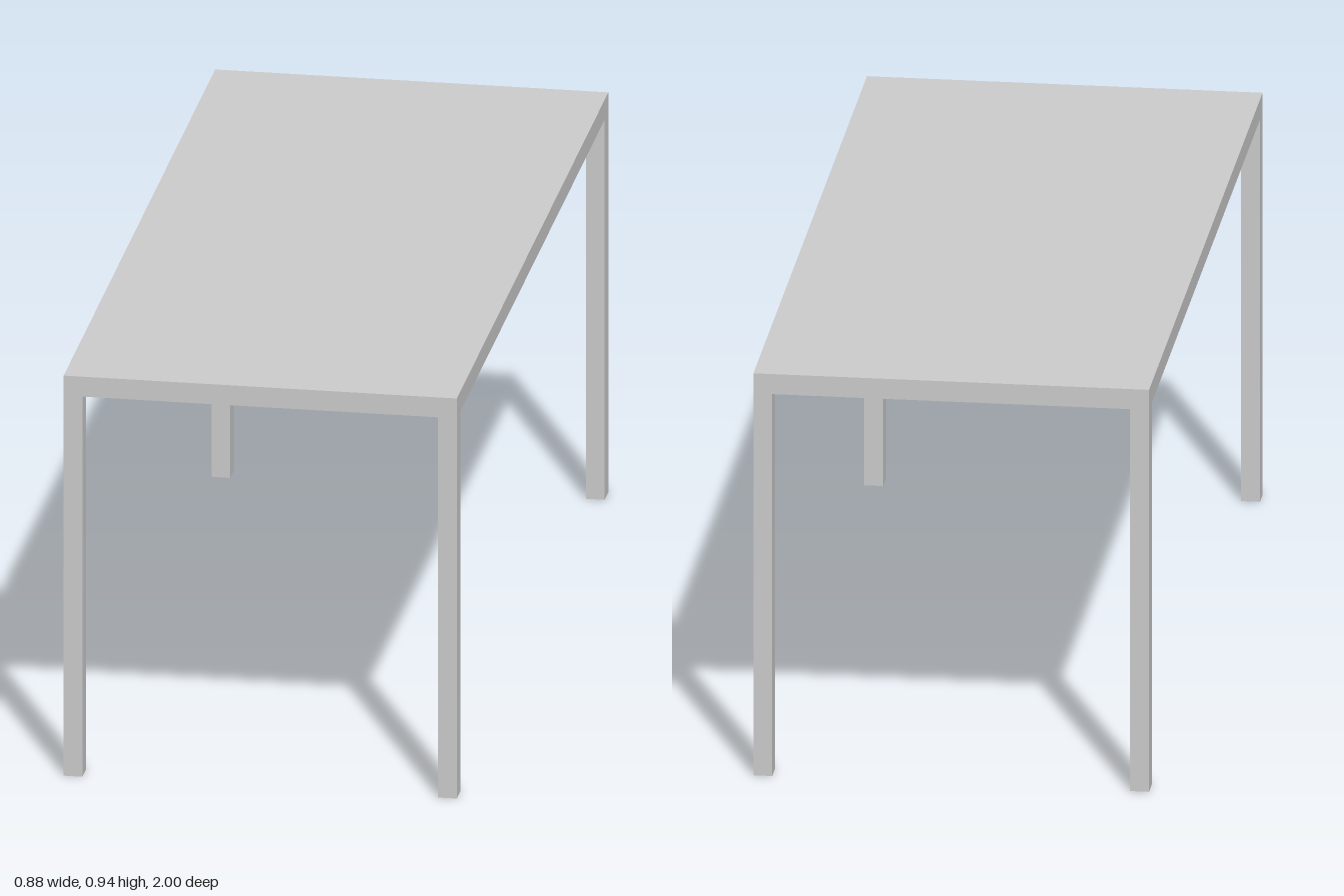
import * as THREE from 'three';

export function createModel() {
  const group = new THREE.Group();
  const material = new THREE.MeshStandardMaterial({ color: 0xcccccc, flatShading: true });
  const width = 0.882, depth = 2, height = 0.942, thickness = 0.047;
  const legX = 0.042, legZ = 0.048, legHeight = height - thickness;

  function addBox(name, w, h, d, x, y, z) {
    const mesh = new THREE.Mesh(new THREE.BoxGeometry(w, h, d), material);
    mesh.name = name;
    mesh.position.set(x, y, z);
    group.add(mesh);
  }

  // Flat slab top
  addBox('tableTop', width, thickness, depth, 0, height - thickness / 2, 0);

  // Four legs flush with the corners
  for (const [sideName, sx] of [['Left', 1], ['Right', -1]]) {
    for (const [endName, sz] of [['front', 1], ['back', -1]]) {
      addBox(`${endName}${sideName}Leg`, legX, legHeight, legZ,
        sx * (width - legX) / 2, legHeight / 2, sz * (depth - legZ) / 2);
    }
  }
  return group;
}
